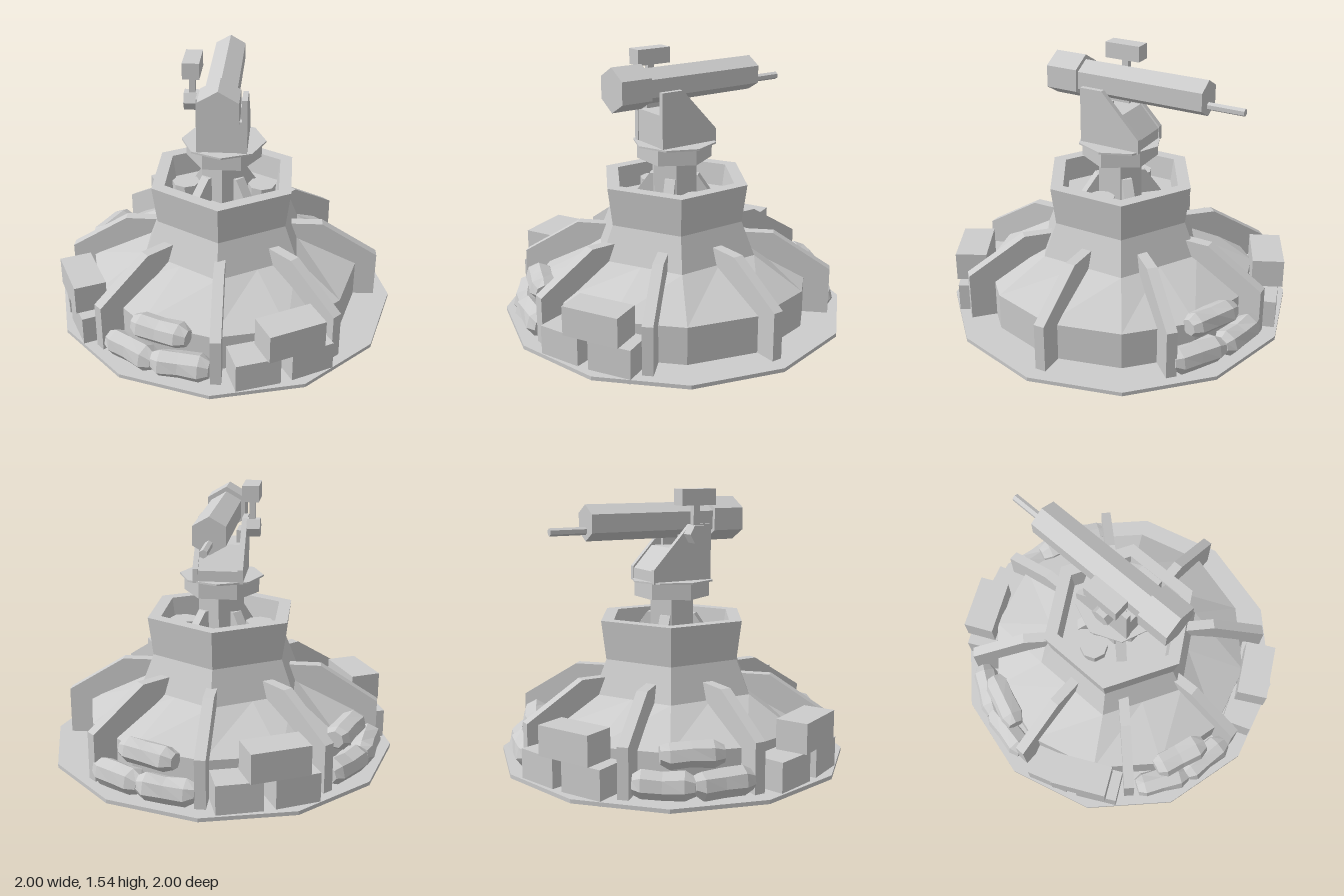
import * as THREE from 'three';

const grey = new THREE.MeshStandardMaterial({ color: 0xcccccc, flatShading: true });
grey.name = 'plain grey';

const rad = THREE.MathUtils.degToRad;

function add(parent, name, geometry, x = 0, y = 0, z = 0) {
  const mesh = new THREE.Mesh(geometry, grey);
  mesh.name = name;
  mesh.position.set(x, y, z);
  parent.add(mesh);
  return mesh;
}

// Small seeded random, from -1 to 1
function seeded(seed) {
  let s = seed;
  return () => {
    s = (s * 16807) % 2147483647;
    return (s / 2147483647) * 2 - 1;
  };
}

// Skin a stack of rings (each a loop running anticlockwise from above) and cap both ends
function loft(rings) {
  const n = rings[0].length;
  const pos = [];
  const tri = (...pts) => pts.forEach((p) => pos.push(p.x, p.y, p.z));
  const cap = (ring, up) => {
    const c = new THREE.Vector3();
    ring.forEach((p) => c.addScaledVector(p, 1 / n));
    ring.forEach((p, i) => {
      const q = ring[(i + 1) % n];
      if (up) tri(c, p, q);
      else tri(c, q, p);
    });
  };
  for (let k = 0; k < rings.length - 1; k++) {
    for (let i = 0; i < n; i++) {
      const j = (i + 1) % n;
      const [a, b, c, d] = [rings[k][i], rings[k][j], rings[k + 1][j], rings[k + 1][i]];
      tri(a, b, c);
      tri(a, c, d);
    }
  }
  cap(rings[0], false);
  cap(rings[rings.length - 1], true);
  const g = new THREE.BufferGeometry();
  g.setAttribute('position', new THREE.Float32BufferAttribute(pos, 3));
  g.computeVertexNormals();
  return g;
}

// Twelve-point ring: a true twelve-gon, or a hexagon with its side midpoints
function bodyRing(r, y, hex) {
  return Array.from({ length: 12 }, (_, i) => {
    const a = (i * Math.PI) / 6;
    const k = hex && i % 2 ? r * Math.cos(Math.PI / 6) : r;
    return new THREE.Vector3(k * Math.sin(a), y, k * Math.cos(a));
  });
}

// Extruded outline, centred on its thickness
function plate(points, thickness) {
  const shape = new THREE.Shape(points.map(([x, y]) => new THREE.Vector2(x, y)));
  const g = new THREE.ExtrudeGeometry(shape, { depth: thickness, bevelEnabled: false });
  return g.translate(0, 0, -thickness / 2);
}

// Prism with flat sides; hexagons have a corner on +z
const prism = (r, h, sides = 6) => new THREE.CylinderGeometry(r, r, h, sides);

// Lumpy, blunt-ended bag lying along x
function bag(length, width, height, seed) {
  const rnd = seeded(seed);
  const sections = [[-0.5, 0.62], [-0.36, 0.95], [-0.02, 0.92], [0.33, 0.98], [0.5, 0.62]];
  const rings = sections.map(([t, s]) => {
    const sag = rnd() * 0.006;
    return Array.from({ length: 7 }, (_, i) => {
      const a = (i / 7) * Math.PI * 2 + 0.2;
      const k = s * (1.07 + rnd() * 0.07);
      return new THREE.Vector3(Math.sin(a) * height * 0.5 * k + sag, t * length, Math.cos(a) * width * 0.5 * k);
    });
  });
  return loft(rings).rotateZ(-Math.PI / 2);
}

function createModel() {
  const model = new THREE.Group();
  model.name = 'gunEmplacement';

  // Ground flange with a dished underside, twelve-sided skirt and hollow hexagonal tower
  add(model, 'bunkerBody', loft([
    bodyRing(0.05, 0.06, false),
    bodyRing(0.94, 0.02, false),
    bodyRing(1, 0.014, false),
    bodyRing(1, 0.036, false),
    bodyRing(0.79, 0.036, false),
    bodyRing(0.79, 0.25, false),
    bodyRing(0.5, 0.42, true),
    bodyRing(0.42, 0.61, true),
    bodyRing(0.45, 0.83, true),
    bodyRing(0.37, 0.83, true),
    bodyRing(0.35, 0.7, true),
  ]));

  // Buttress ribs
  const ribOutline = [[0.32, 0.01], [0.91, 0.01], [0.91, 0.31], [0.58, 0.515], [0.32, 0.515]];
  [1.6, 46.6, 90, 135, 180, 225, 271.6, 316.6].forEach((angle) => {
    add(model, 'buttress', plate(ribOutline, 0.06)).rotation.y = rad(angle);
  });

  // Pedestal, its gussets and two drums inside the well
  add(model, 'pedestal', prism(0.14, 0.28), 0, 0.82, 0);
  for (let i = 0; i < 4; i++) {
    const gusset = plate([[0.08, 0.69], [0.25, 0.69], [0.14, 0.845], [0.08, 0.845]], 0.06);
    add(model, 'pedestalGusset', gusset).rotation.y = Math.PI / 4 + (i * Math.PI) / 2;
  }
  for (const s of [-1, 1]) add(model, 'wellDrum', prism(0.08, 0.07, 8), s * 0.22, 0.73, 0);

  // Turntable
  add(model, 'turntable', prism(0.215, 0.09).rotateY(Math.PI / 6), 0, 0.985, 0);
  add(model, 'turntablePlate', prism(0.24, 0.01, 8), 0, 1.035, 0);

  // Yoke: outlines are (-z, y), turned so they lie in the side plane
  const side = (points, thickness) => plate(points, thickness).rotateY(Math.PI / 2);
  add(model, 'yokeBlock', side([[-0.17, 1.03], [0.185, 1.03], [0.185, 1.1], [0.07, 1.225], [-0.17, 1.225]], 0.22));
  for (const s of [-1, 1]) {
    add(model, 'yokeCheek',
      side([[-0.175, 1.03], [0.19, 1.03], [0.19, 1.11], [-0.04, 1.355], [-0.175, 1.355]], 0.03), s * 0.125);
    add(model, 'yokeShoulder', new THREE.BoxGeometry(0.025, 0.09, 0.14), s * 0.097, 1.25, 0.06);
  }

  // Gun, pointing to the back
  const gun = new THREE.Group();
  gun.name = 'gun';
  model.add(gun);
  const along = (r, from, to) => prism(r, from - to).rotateX(Math.PI / 2).translate(0, 0, (from + to) / 2);
  add(gun, 'breech', along(0.125, 0.41, 0.22), 0, 1.375, 0);
  add(gun, 'gunHousing', along(0.1, 0.22, -0.535), 0, 1.373, 0);
  add(gun, 'muzzle', along(0.022, -0.53, -0.745), 0, 1.33, 0);

  // Sight on its post
  add(model, 'sightPivot', prism(0.057, 0.075).rotateZ(Math.PI / 2), -0.176, 1.303, 0.055);
  add(model, 'sightPost', new THREE.BoxGeometry(0.034, 0.16, 0.04), -0.168, 1.4, 0.055);
  add(model, 'sightBox', new THREE.BoxGeometry(0.093, 0.09, 0.215), -0.165, 1.507, 0.055);

  // Stores around the skirt; each stack faces outward along its own +z
  const stack = (name, angle) => {
    const g = new THREE.Group();
    g.name = name;
    g.rotation.y = rad(90 - angle);
    model.add(g);
    return g;
  };
  [65, 157, 248].forEach((angle) => {
    const g = stack('crateStack', angle);
    for (const s of [-1, 1]) {
      add(g, 'lowerCrate', new THREE.BoxGeometry(0.25, 0.19, 0.18), s * 0.15, 0.105, 0.845).rotation.y = s * 0.08;
    }
    add(g, 'upperCrate', new THREE.BoxGeometry(0.33, 0.165, 0.18), 0.05, 0.287, 0.865).rotation.y = 0.06;
  });
  [111, 202, 292].forEach((angle, i) => {
    const g = stack('sandbagStack', angle);
    for (const s of [-1, 1]) {
      add(g, 'lowerSandbag', bag(0.32, 0.15, 0.15, 31 + i * 7 + s), s * 0.15, 0.107, 0.85).rotation.y = s * 0.2;
    }
    add(g, 'upperSandbag', bag(0.33, 0.15, 0.14, 77 + i * 5), 0, 0.243, 0.79);
  });

  return model;
}

export { createModel };
